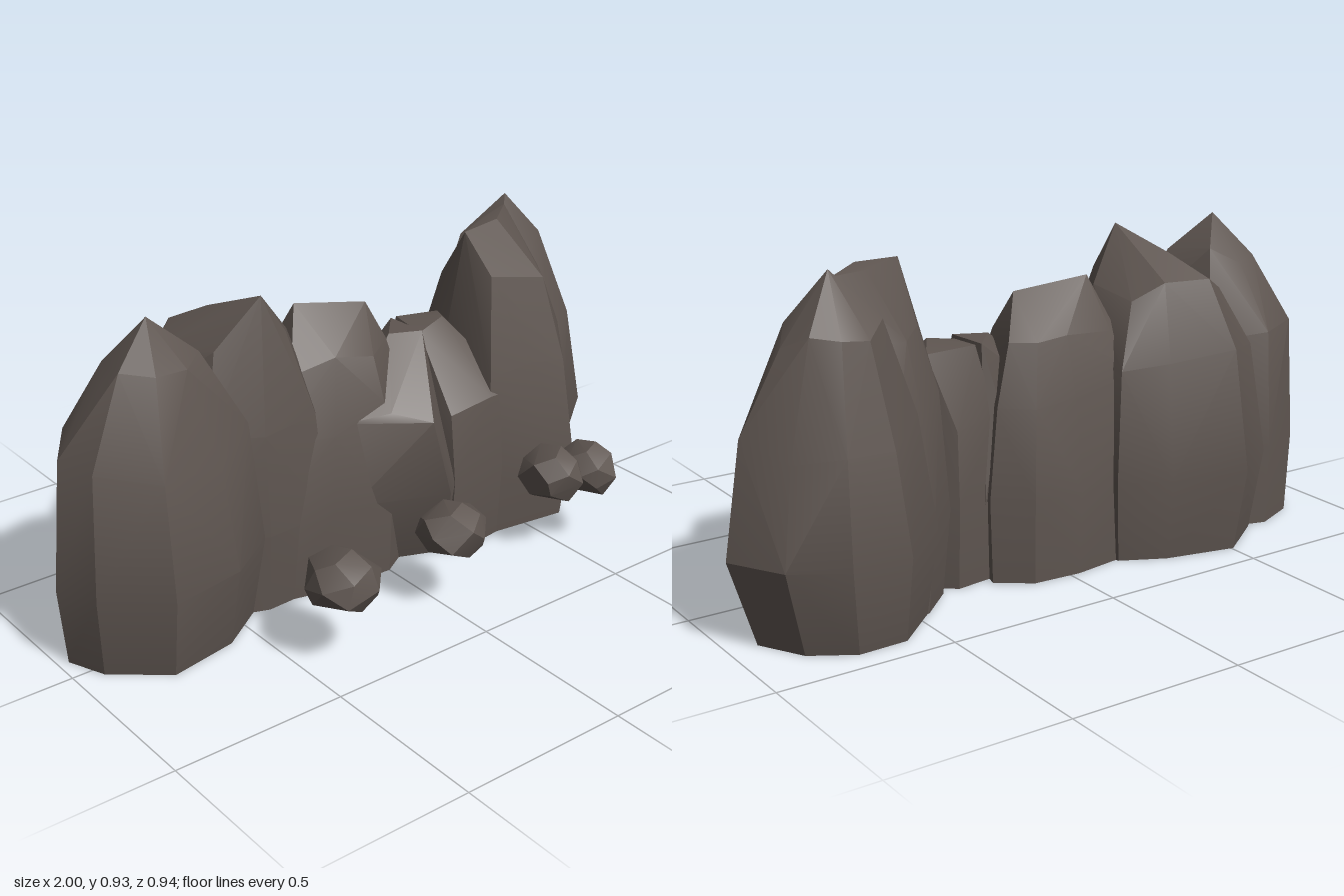
import * as THREE from 'three';
import { ConvexGeometry } from 'three/addons/geometries/ConvexGeometry.js';
import { toCreasedNormals } from 'three/addons/utils/BufferGeometryUtils.js';

const stone = new THREE.MeshStandardMaterial({ color: 0x5e5550 });
stone.name = 'darkStone';

// Seeded noise in -1..1
function noise(seed) {
  let s = seed * 7919 + 17;
  return () => {
    s = (s * 16807) % 2147483647;
    return (s / 2147483647) * 2 - 1;
  };
}

function addRock(group, name, points) {
  const geometry = toCreasedNormals(new ConvexGeometry(points), 0.42);
  const mesh = new THREE.Mesh(geometry, stone);
  mesh.name = name;
  group.add(mesh);
}

// Standing rock: widest plan outline [x, z], repeated as rings [y, scale, shiftX, shiftZ]
// around the middle of the peaks [x, y, z]
function standingRock(group, name, seed, outline, rings, peaks) {
  const rnd = noise(seed);
  const cx = peaks.reduce((a, p) => a + p[0], 0) / peaks.length;
  const cz = peaks.reduce((a, p) => a + p[2], 0) / peaks.length;
  const points = peaks.map((p) => new THREE.Vector3(...p));
  for (const [y, scale, dx = 0, dz = 0] of rings) {
    for (const [x, z] of outline) {
      const k = y > 0.3 ? scale * (1 + 0.03 * rnd()) : scale;
      const dy = y > 0.3 ? 0.035 * rnd() : 0;
      points.push(new THREE.Vector3(cx + dx + (x - cx) * k, y + dy, cz + dz + (z - cz) * k));
    }
  }
  addRock(group, name, points);
}

// Small faceted boulder
function boulder(group, name, seed, center, size) {
  const rnd = noise(seed);
  const points = [];
  const count = 22;
  for (let i = 0; i < count; i++) {
    const v = 1 - (2 * (i + 0.5)) / count;
    const a = i * 2.4 + 0.25 * rnd();
    const r = Math.sqrt(1 - v * v);
    const k = 1 + 0.06 * rnd();
    points.push(new THREE.Vector3(
      center[0] + size[0] * r * Math.cos(a) * k,
      center[1] + size[1] * Math.max(-1, Math.min(1, v * 1.06)),
      center[2] + size[2] * r * Math.sin(a) * k
    ));
  }
  addRock(group, name, points);
}

export function createModel() {
  const model = new THREE.Group();
  model.name = 'rockFormation';
  const wall = new THREE.Group();
  wall.name = 'rockWall';
  const boulders = new THREE.Group();
  boulders.name = 'boulders';
  model.add(wall, boulders);

  // Wall, from the right end to the left end
  standingRock(wall, 'rightEndRock', 1,
    [[-1, -0.05], [-0.87, -0.24], [-0.73, -0.3], [-0.52, -0.24], [-0.41, 0.05], [-0.57, 0.16], [-0.79, 0.2], [-0.95, 0.07]],
    [[0, 0.91, 0, -0.02], [0.24, 1], [0.57, 0.88, -0.005, -0.01], [0.79, 0.46]],
    [[-0.67, 0.91, -0.08]]);
  standingRock(wall, 'rightPeakRock', 2,
    [[-0.69, -0.32], [-0.52, -0.44], [-0.29, -0.39], [-0.15, -0.32], [-0.12, -0.08], [-0.2, 0.05], [-0.4, 0.06], [-0.56, 0]],
    [[0, 0.9], [0.24, 1], [0.56, 0.88], [0.76, 0.6, 0, -0.01]],
    [[-0.35, 0.905, -0.03], [-0.41, 0.84, -0.2]]);
  standingRock(wall, 'middleRock', 3,
    [[-0.4, 0.03], [-0.3, -0.28], [-0.03, -0.32], [0.12, -0.31], [0.22, -0.24], [0.15, 0], [0, 0.09], [-0.2, 0.08]],
    [[0, 0.95], [0.24, 1], [0.5, 0.85], [0.68, 0.62]],
    [[-0.16, 0.8, -0.15], [0.05, 0.77, -0.1], [0.09, 0.69, -0.18]]);
  // Leans out over its foot towards the right
  standingRock(wall, 'lowFrontRock', 4,
    [[-0.12, 0.06], [0.03, 0.11], [0.15, 0.17], [0.21, 0.12], [0.24, -0.05], [0.22, -0.22], [0, -0.15]],
    [[0, 0.7, 0.04], [0.24, 1], [0.47, 0.88, -0.05]],
    [[0.12, 0.66, -0.08], [0.21, 0.66, -0.04], [0.2, 0.66, -0.17]]);
  standingRock(wall, 'saddleRock', 5,
    [[0.15, -0.05], [0.2, 0.13], [0.36, 0.13], [0.5, 0.11], [0.46, -0.1], [0.31, -0.23], [0.16, -0.21]],
    [[0, 0.9], [0.24, 1], [0.47, 0.88]],
    [[0.21, 0.65, -0.05], [0.31, 0.67, -0.07], [0.36, 0.65, -0.15], [0.22, 0.66, -0.17]]);
  standingRock(wall, 'leftFlatRock', 6,
    [[0.31, -0.1], [0.34, 0.12], [0.5, 0.13], [0.64, 0.16], [0.75, 0], [0.7, -0.25], [0.55, -0.35], [0.45, -0.33], [0.34, -0.23]],
    [[0, 0.9], [0.24, 1], [0.54, 0.88], [0.76, 0.62]],
    [[0.4, 0.905, -0.08], [0.54, 0.91, -0.1], [0.66, 0.905, -0.2], [0.54, 0.9, -0.16]]);
  standingRock(wall, 'leftEndRock', 7,
    [[0.44, -0.33], [0.6, -0.47], [0.77, -0.475], [0.91, -0.39], [0.995, -0.24], [0.9, -0.08], [0.74, 0.02], [0.55, -0.05]],
    [[0, 0.82, -0.02], [0.24, 1], [0.53, 0.82], [0.78, 0.47, 0, -0.02]],
    [[0.68, 0.93, -0.22]]);

  // Loose boulders in front
  boulder(boulders, 'rightBoulder', 11, [-0.388, 0.243, 0.362], [0.105, 0.082, 0.116]);
  boulder(boulders, 'middleBoulder', 12, [0.015, 0.24, 0.335], [0.102, 0.077, 0.097]);
  boulder(boulders, 'leftBoulderBack', 13, [0.46, 0.243, 0.26], [0.093, 0.082, 0.105]);
  boulder(boulders, 'leftBoulderFront', 14, [0.568, 0.242, 0.297], [0.085, 0.08, 0.097]);
  return model;
}
